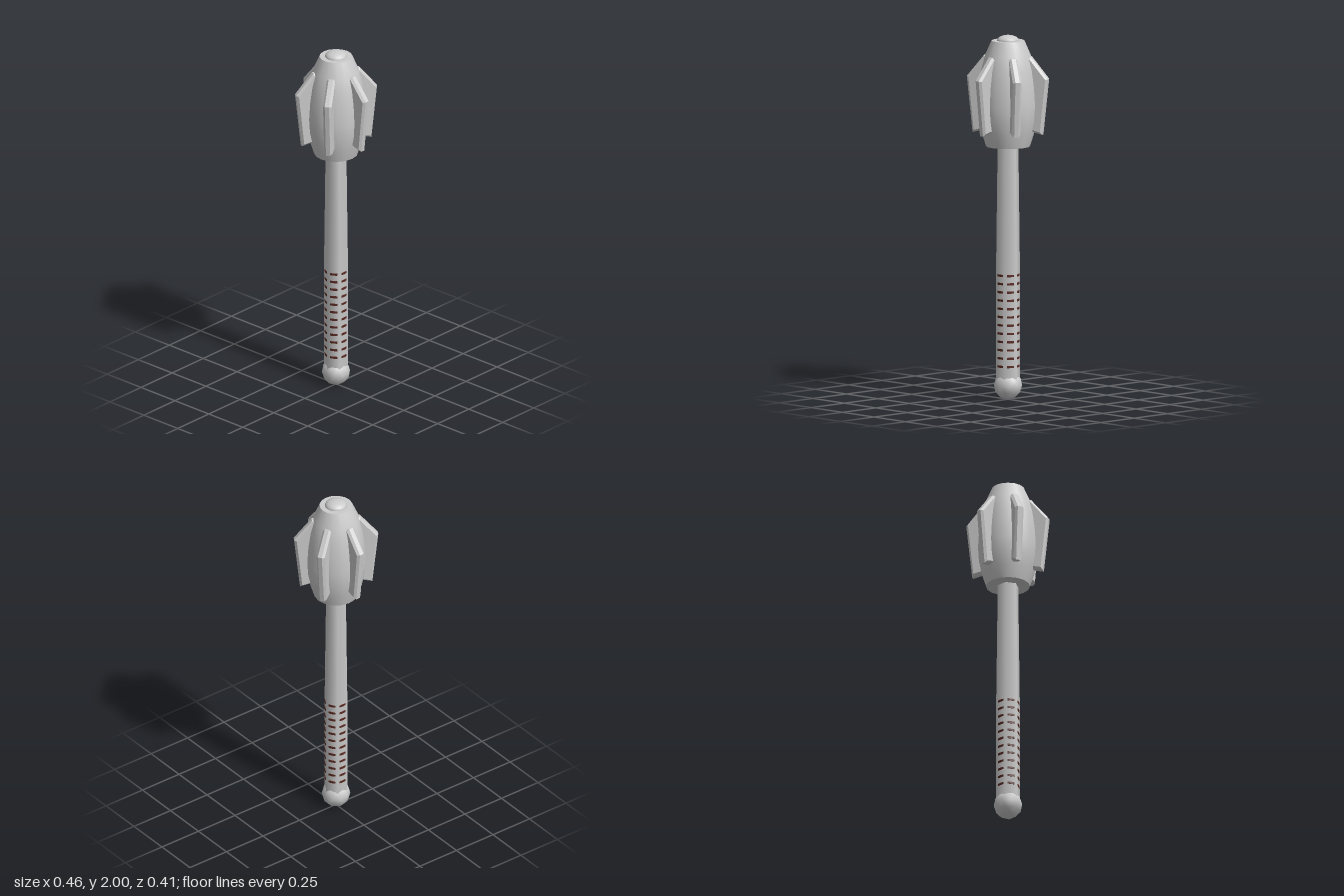
import * as THREE from 'three';

export function createModel() {
  const model = new THREE.Group();
  const metal = new THREE.MeshStandardMaterial({ color: 0xcccccc });
  const leather = new THREE.MeshStandardMaterial({ color: 0x5a2a22 });

  const add = (name, geometry, material = metal, y = 0, parent = model) => {
    const mesh = new THREE.Mesh(geometry, material);
    mesh.name = name;
    mesh.position.y = y;
    parent.add(mesh);
    return mesh;
  };
  const points = (list) => list.map(([x, y]) => new THREE.Vector2(x, y));

  // Faceted ball at the foot, one corner pointing straight up
  const ball = new THREE.IcosahedronGeometry(0.078, 1);
  ball.rotateZ(-0.5536);
  add('pommel', ball, metal, 0.078);

  // Six-sided handle, straight at the grip and tapering towards the head
  const handle = points([[0.067, 0.08], [0.067, 0.7], [0.058, 1.4]]);
  add('handle', new THREE.LatheGeometry(handle, 6));

  // Thin round bands that show through the flats of the grip
  const bands = new THREE.Group();
  bands.name = 'gripBands';
  model.add(bands);
  for (let i = 0; i < 12; i++) {
    add('gripBand', new THREE.CylinderGeometry(0.062, 0.062, 0.012, 24), leather, 0.185 + i * 0.0454, bands);
  }

  // Bulging head with flat ends
  const side = points([
    [0.12, 1.39], [0.142, 1.46], [0.158, 1.54], [0.163, 1.62], [0.157, 1.72],
    [0.145, 1.81], [0.125, 1.89], [0.09, 1.97],
  ]);
  add('head', new THREE.LatheGeometry(side, 16));
  const top = add('headTop', new THREE.CircleGeometry(0.09, 16), metal, 1.97);
  top.rotation.x = -Math.PI / 2;
  const bottom = add('headBottom', new THREE.CircleGeometry(0.12, 16), metal, 1.39);
  bottom.rotation.x = Math.PI / 2;

  // Low dome on top of the head
  const dome = new THREE.SphereGeometry(0.06, 24, 6, 0, Math.PI * 2, 0, Math.PI / 2);
  dome.scale(1, 0.5, 1);
  add('topDome', dome, metal, 1.97);

  // Six bevelled flanges around the head
  const bevel = 0.012;
  const outline = new THREE.Shape(points([
    [0.11, 1.495], [0.188, 1.475], [0.218, 1.764], [0.127, 1.875], [0.11, 1.875],
  ]));
  const blade = new THREE.ExtrudeGeometry(outline, {
    depth: 0.024, bevelEnabled: true, bevelThickness: bevel, bevelSize: bevel, bevelSegments: 1,
  });
  blade.translate(0, 0, -0.012);
  for (let i = 0; i < 6; i++) {
    add('flange', blade).rotation.y = (i * Math.PI) / 3;
  }

  return model;
}
